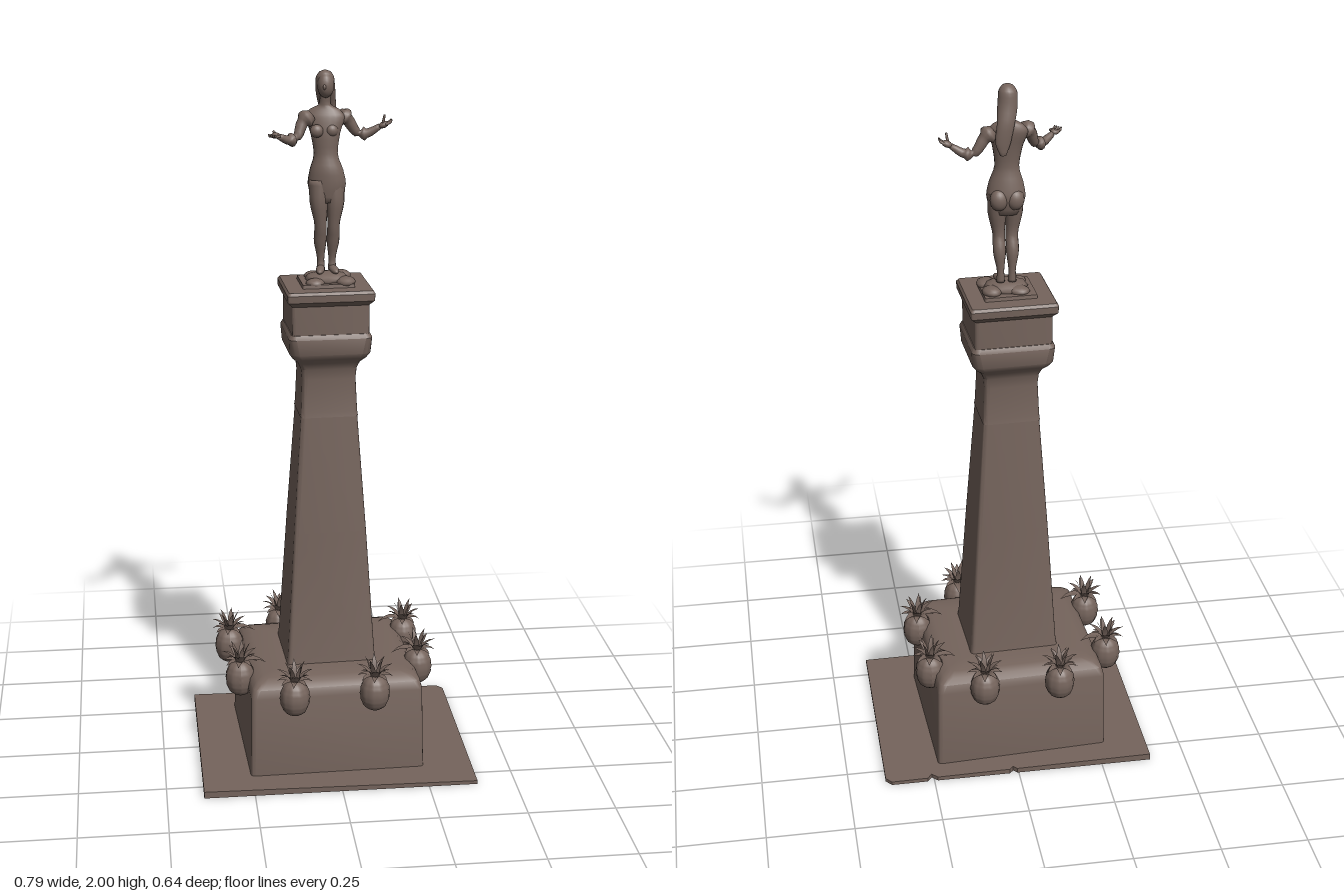
import * as THREE from 'three';
import { mergeGeometries, toCreasedNormals } from 'three/addons/utils/BufferGeometryUtils.js';

const stone = new THREE.MeshStandardMaterial({ color: 0x75645c, side: THREE.DoubleSide });
stone.name = 'brown stone';

function add(parent, name, geo, pos = [0, 0, 0], scale = [1, 1, 1], rot = [0, 0, 0]) {
  const m = new THREE.Mesh(geo, stone);
  m.name = name;
  m.position.set(...pos);
  m.scale.set(...scale);
  m.rotation.set(...rot);
  parent.add(m);
  return m;
}

// Skin a list of equal-length rings, closing both ends
function loft(rings) {
  const n = rings[0].length, pos = [], idx = [];
  rings.forEach(r => r.forEach(p => pos.push(p.x, p.y, p.z)));
  for (let i = 0; i < rings.length - 1; i++) for (let j = 0; j < n; j++) {
    const a = i * n + j, b = i * n + (j + 1) % n;
    idx.push(a, b, a + n, b, b + n, a + n);
  }
  [0, rings.length - 1].forEach(k => {
    const c = rings[k].reduce((s, p) => s.add(p), new THREE.Vector3()).divideScalar(n);
    const ci = pos.length / 3;
    pos.push(c.x, c.y, c.z);
    for (let j = 0; j < n; j++) {
      const a = k * n + j, b = k * n + (j + 1) % n;
      k ? idx.push(ci, a, b) : idx.push(ci, b, a);
    }
  });
  const g = new THREE.BufferGeometry();
  g.setAttribute('position', new THREE.Float32BufferAttribute(pos, 3));
  g.setIndex(idx);
  g.computeVertexNormals();
  return g;
}

// Stack of rounded rectangles: [y, half x, half z, corner radius]
function blockLoft(rows) {
  return toCreasedNormals(loft(rows.map(([y, hx, hz, c]) => {
    const ring = [];
    for (let k = 0; k < 4; k++) for (let s = 0; s < 4; s++) {
      const t = (k + s / 3) * Math.PI / 2, q = (k + 0.5) * Math.PI / 2;
      ring.push(new THREE.Vector3(Math.sign(Math.cos(q)) * (hx - c) + c * Math.cos(t), y,
        -Math.sign(Math.sin(q)) * (hz - c) - c * Math.sin(t)));
    }
    return ring;
  })), 0.6);
}

// Stack of level ellipses: [x, y, z, radius x, radius z], smoothed between rows
function bodyLoft(rows, yaw = 0) {
  const centre = new THREE.CatmullRomCurve3(rows.map(r => new THREE.Vector3(r[0], r[1], r[2])));
  const radii = new THREE.CatmullRomCurve3(rows.map(r => new THREE.Vector3(r[3], 0, r[4])));
  const steps = (rows.length - 1) * 3, up = new THREE.Vector3(0, 1, 0);
  return loft(Array.from({ length: steps + 1 }, (_, i) => {
    const c = centre.getPoint(i / steps), r = radii.getPoint(i / steps);
    return Array.from({ length: 20 }, (_, j) => {
      const t = j / 20 * Math.PI * 2;
      return new THREE.Vector3(r.x * Math.cos(t), 0, -r.z * Math.sin(t)).applyAxisAngle(up, yaw).add(c);
    });
  }));
}

// Round limb along a curve: [x, y, z, radius]
function limb(rows) {
  const path = new THREE.CatmullRomCurve3(rows.map(r => new THREE.Vector3(r[0], r[1], r[2])));
  const radii = new THREE.CatmullRomCurve3(rows.map(r => new THREE.Vector3(r[3], 0, 0)));
  const steps = (rows.length - 1) * 4;
  return loft(Array.from({ length: steps + 1 }, (_, i) => {
    const p = path.getPoint(i / steps), T = path.getTangent(i / steps), r = radii.getPoint(i / steps).x;
    const u = new THREE.Vector3(0, 0, 1).addScaledVector(T, -T.z).normalize();
    const v = T.clone().cross(u);
    return Array.from({ length: 12 }, (_, j) => {
      const t = j / 12 * Math.PI * 2;
      return p.clone().addScaledVector(u, r * Math.cos(t)).addScaledVector(v, r * Math.sin(t));
    });
  }));
}

// Pointed leaf, creased along the middle and curling outwards
function leaf(len, width, lean, curl, turn) {
  const g = new THREE.PlaneGeometry(2, 1, 2, 4), p = g.attributes.position;
  for (let i = 0; i < p.count; i++) {
    const s = p.getX(i), v = p.getY(i) + 0.5, a = lean + curl * v;
    const w = width * Math.sin(Math.PI * (0.25 + 0.75 * v));
    p.setXYZ(i, s * w, len * v * Math.cos(a) + Math.abs(s) * w * 0.3, 0.008 + len * v * Math.sin(a));
  }
  g.rotateY(turn);
  g.computeVertexNormals();
  return g;
}

function pineappleParts() {
  // Fruit with a diamond pattern of knobs
  const fruit = new THREE.SphereGeometry(1, 32, 20), p = fruit.attributes.position;
  for (let i = 0; i < p.count; i++) {
    const y = p.getY(i), t = Math.atan2(p.getZ(i), p.getX(i)), r = Math.hypot(p.getX(i), p.getZ(i));
    const knob = 1 + 0.05 * Math.cos(5 * t + 9 * y) * Math.cos(5 * t - 9 * y);
    const k = Math.pow(r, 0.8) * knob * 0.042;
    p.setXYZ(i, Math.cos(t) * k, y * 0.053, Math.sin(t) * k);
  }
  fruit.computeVertexNormals();
  // Crown of leaves in three tiers plus one long leaf
  const leaves = [leaf(0.068, 0.014, 1.0, 0.65, 0)];
  [[5, 0.064, 0.008, 0.1, 0.25], [7, 0.056, 0.009, 0.4, 0.5], [8, 0.043, 0.01, 0.8, 0.7]].forEach(
    ([n, len, w, lean, curl], tier) => {
      for (let i = 0; i < n; i++) leaves.push(leaf(len, w, lean, curl, (i + tier * 0.4) / n * Math.PI * 2));
    });
  return [fruit, mergeGeometries(leaves)];
}

function figure() {
  const g = new THREE.Group();
  g.name = 'standingFigure';
  const ball = new THREE.SphereGeometry(1, 20, 14);
  add(g, 'torso', bodyLoft([
    [-0.009, 1.64, -0.012, 0.036, 0.026], [-0.009, 1.69, -0.015, 0.053, 0.036],
    [-0.010, 1.73, -0.012, 0.046, 0.033], [-0.012, 1.775, -0.012, 0.033, 0.024],
    [-0.013, 1.83, -0.015, 0.041, 0.026], [-0.013, 1.872, -0.022, 0.054, 0.025],
    [-0.013, 1.893, -0.025, 0.040, 0.019], [-0.013, 1.906, -0.024, 0.016, 0.015],
    [-0.012, 1.94, -0.018, 0.013, 0.013]], -0.2));
  add(g, 'head', ball, [-0.012, 1.96, -0.010], [0.023, 0.035, 0.027], [0, -0.25, 0]);
  add(g, 'nose', ball, [-0.018, 1.957, 0.016], [0.004, 0.007, 0.005]);
  add(g, 'hair', bodyLoft([
    [0.004, 1.815, -0.052, 0.008, 0.005], [0.004, 1.85, -0.050, 0.021, 0.010],
    [-0.004, 1.90, -0.046, 0.024, 0.014], [-0.011, 1.945, -0.028, 0.027, 0.023],
    [-0.013, 1.98, -0.020, 0.025, 0.026], [-0.013, 1.995, -0.017, 0.015, 0.017],
    [-0.013, 2.0, -0.017, 0.003, 0.003]]));
  [-1, 1].forEach(s => {
    const side = s < 0 ? 'right' : 'left', x = -0.009 + s * 0.022;
    add(g, side + 'Breast', ball, [-0.018 + s * 0.021, 1.838, 0.005 - s * 0.004], [0.018, 0.018, 0.015]);
    add(g, side + 'Buttock', ball, [x, 1.685, -0.036], [0.025, 0.030, 0.022]);
    add(g, side + 'Leg', limb([
      [x - s * 0.002, 1.70, -0.012, 0.030], [x, 1.64, -0.006, 0.026], [x - s * 0.004, 1.575, -0.007, 0.017],
      [x - s * 0.004, 1.535, -0.018, 0.018], [x - s * 0.006, 1.475, -0.025, 0.010],
      [x - s * 0.006, 1.445, -0.024, 0.012]]));
    add(g, side + 'Foot', ball, [x - s * 0.003, 1.45, -0.006], [0.012, 0.010, 0.028], [0.15, s * 0.2, 0]);
  });
  // Arms held out to the sides, palms up
  add(g, 'rightArm', limb([[-0.052, 1.878, -0.012, 0.017], [-0.075, 1.862, -0.004, 0.017],
    [-0.092, 1.825, 0.012, 0.013], [-0.115, 1.818, 0.030, 0.013], [-0.146, 1.832, 0.052, 0.008]]));
  add(g, 'leftArm', limb([[0.028, 1.878, -0.030, 0.017], [0.050, 1.862, -0.036, 0.017],
    [0.078, 1.825, -0.042, 0.013], [0.104, 1.822, -0.040, 0.013], [0.140, 1.842, -0.032, 0.008]]));
  add(g, 'rightHand', ball, [-0.155, 1.836, 0.060], [0.014, 0.008, 0.012], [0, 0.7, 0]);
  add(g, 'leftHand', ball, [0.150, 1.847, -0.028], [0.015, 0.009, 0.012], [0, 0, 0.4]);
  for (let i = 0; i < 4; i++) {
    const o = i * 0.005;
    add(g, 'rightFinger', limb([[-0.160 + o, 1.836, 0.060 + o, 0.004], [-0.171 + o, 1.836, 0.070 + o, 0.0035],
      [-0.175 + o, 1.842, 0.076 + o, 0.002]]));
    add(g, 'leftFinger', limb([[0.154, 1.848, -0.034 + o, 0.004], [0.167, 1.855, -0.033 + o, 0.0035],
      [0.171, 1.862, -0.032 + o, 0.002]]));
  }
  add(g, 'rightThumb', limb([[-0.152, 1.838, 0.056, 0.004], [-0.162, 1.848, 0.056, 0.003]]));
  add(g, 'leftThumb', limb([[0.147, 1.85, -0.024, 0.004], [0.151, 1.875, -0.020, 0.003]]));
  return g;
}

export function createModel() {
  const model = new THREE.Group();
  model.name = 'monument';

  // Thin ground slab with two chips in its back edge
  const outline = new THREE.Shape([[-0.395, -0.318], [0.39, -0.318], [0.392, 0.30], [0.375, 0.32], [0.27, 0.32],
    [0.256, 0.303], [0.24, 0.32], [0.026, 0.32], [0.015, 0.308], [0.004, 0.32], [-0.395, 0.32]]
    .map(p => new THREE.Vector2(...p)));
  const slab = new THREE.ExtrudeGeometry(outline, { depth: 1, bevelEnabled: false }).rotateX(-Math.PI / 2);
  const sp = slab.attributes.position;
  for (let i = 0; i < sp.count; i++) sp.setY(i, sp.getY(i) * (0.015 - sp.getX(i) * 0.012));
  slab.computeVertexNormals();
  add(model, 'groundSlab', slab);

  // Masonry, slightly turned on the slab
  const column = new THREE.Group();
  column.name = 'column';
  column.position.set(-0.0125, 0, -0.012);
  column.rotation.y = 0.04;
  model.add(column);
  add(column, 'pedestal', blockLoft([[0.005, 0.253, 0.238, 0.012], [0.255, 0.248, 0.233, 0.014],
    [0.28, 0.242, 0.227, 0.02], [0.295, 0.228, 0.213, 0.025], [0.303, 0.205, 0.19, 0.025],
    [0.306, 0.15, 0.14, 0.02]]));
  add(column, 'shaft', blockLoft([[0.29, 0.132, 0.121, 0.012], [0.33, 0.127, 0.116, 0.012],
    [0.7, 0.104, 0.096, 0.012], [1.045, 0.080, 0.077, 0.012]]));
  add(column, 'shaftNeck', blockLoft([[1.04, 0.082, 0.078, 0.012], [1.055, 0.080, 0.076, 0.012],
    [1.15, 0.076, 0.073, 0.014], [1.18, 0.079, 0.076, 0.016], [1.2, 0.088, 0.086, 0.02],
    [1.215, 0.104, 0.101, 0.024], [1.23, 0.114, 0.11, 0.026], [1.275, 0.117, 0.113, 0.02],
    [1.287, 0.110, 0.106, 0.015]]));
  add(column, 'capitalBlock', blockLoft([[1.28, 0.108, 0.104, 0.008], [1.375, 0.108, 0.104, 0.008]]));
  add(column, 'capitalSlab', blockLoft([[1.368, 0.108, 0.104, 0.006], [1.382, 0.121, 0.117, 0.006],
    [1.402, 0.122, 0.118, 0.006], [1.41, 0.117, 0.113, 0.008]]));
  add(column, 'plinth', blockLoft([[1.405, 0.074, 0.068, 0.004], [1.42, 0.072, 0.066, 0.004]]));

  // Rough mound under the feet
  const rock = new THREE.IcosahedronGeometry(1, 1);
  [[-0.01, 1.425, -0.01, 0.062, 0.02, 0.052], [-0.045, 1.42, 0.03, 0.03, 0.014, 0.026],
    [0.04, 1.422, 0.025, 0.034, 0.014, 0.028], [0.035, 1.425, -0.045, 0.03, 0.015, 0.026],
    [-0.04, 1.424, -0.045, 0.032, 0.014, 0.025]].forEach(([x, y, z, a, b, c], i) =>
    add(model, 'moundRock', rock, [x, y, z], [a, b, c], [0, i * 0.7, 0]));
  model.add(figure());

  // Eight pineapples around the pedestal, long leaf pointing inwards
  const [fruit, crown] = pineappleParts();
  [[-0.13, -0.26, 0], [0.09, -0.258, 0], [-0.13, 0.258, Math.PI], [0.1, 0.247, Math.PI],
    [-0.292, -0.13, Math.PI / 2], [-0.275, 0.106, Math.PI / 2], [0.237, -0.15, -Math.PI / 2],
    [0.247, 0.078, -Math.PI / 2]].forEach(([x, z, turn]) => {
    const g = new THREE.Group();
    g.name = 'pineapple';
    g.position.set(x, 0.272, z);
    g.rotation.y = turn;
    add(g, 'fruit', fruit);
    add(g, 'leafCrown', crown, [0, 0.048, 0]);
    model.add(g);
  });
  return model;
}
